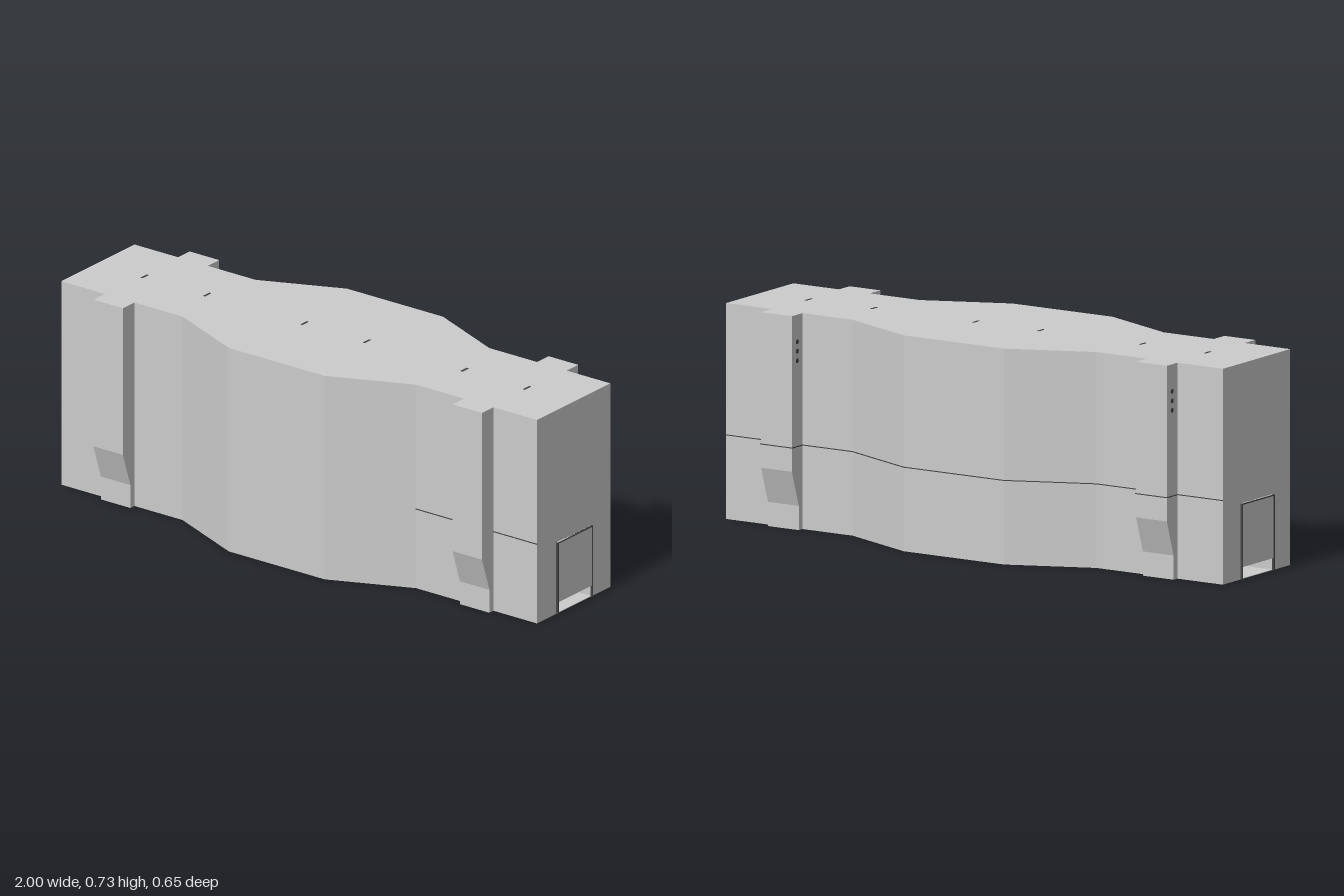
import * as THREE from 'three';

const H = 0.73, END = 0.992, DOOR = 0.094, SILL = 0.042;
const PIL = [0.687, 0.81]; // pilaster x range

export function createModel() {
  const model = new THREE.Group();
  const mat = new THREE.MeshStandardMaterial({ color: 0xcccccc, flatShading: true, side: THREE.DoubleSide });
  const dark = new THREE.MeshStandardMaterial({ color: 0x444444, flatShading: true });

  const add = (name, geo, x = 0, y = 0, z = 0, m = mat) => {
    const mesh = new THREE.Mesh(geo, m);
    mesh.name = name;
    mesh.position.set(x, y, z);
    model.add(mesh);
    return mesh;
  };
  const box = (name, w, h, d, x, y, z, m) => add(name, new THREE.BoxGeometry(w, h, d), x, y, z, m);

  // Plan outline given as [x, z] points, raised from y0 to y1
  const slab = (name, pts, y0, y1, m) => {
    const shape = new THREE.Shape(pts.map(([x, z]) => new THREE.Vector2(x, -z)));
    const geo = new THREE.ExtrudeGeometry(shape, { depth: y1 - y0, bevelEnabled: false });
    geo.rotateX(-Math.PI / 2);
    return add(name, geo, 0, y0, 0, m);
  };

  // Bulging body: one long side from left to right, mirrored for the other
  const side = s => [[-END, 0.2 * s], [-0.487, 0.2 * s], [-0.2, 0.323 * s],
    [0.2, 0.323 * s], [0.487, 0.2 * s], [END, 0.2 * s]];
  slab('body', [...side(1), ...side(-1).reverse()], SILL, H);

  // Lower body, split by the low gap that runs between the end doors
  for (const s of [1, -1]) slab('lowerBody', [...side(s), [END, DOOR * s], [-END, DOOR * s]], 0, SILL);
  box('floor', 2 * END, 0.002, 2 * DOOR, 0, 0.001, 0);

  // Pilasters that taper in near the foot
  const profile = new THREE.Shape([[0.19, 0], [0.222, 0], [0.222, 0.082], [0.263, 0.204], [0.263, H], [0.19, H]]
    .map(p => new THREE.Vector2(...p)));
  const pilaster = new THREE.ExtrudeGeometry(profile, { depth: PIL[1] - PIL[0], bevelEnabled: false });
  pilaster.rotateY(-Math.PI / 2); // profile now faces +z, length runs along -x
  for (const x of [PIL[1], -PIL[0]]) {
    add('frontPilaster', pilaster, x);
    add('backPilaster', pilaster, x - PIL[0] - (PIL[1] - PIL[0]) + PIL[0]).rotation.y = Math.PI;
  }

  // Raised door and slim jambs at each end
  for (const s of [1, -1]) {
    box('door', 0.006, 0.257 - SILL, 2 * DOOR, s * 0.995, (0.257 + SILL) / 2, 0);
    box('doorHead', 0.008, 0.004, 2 * DOOR, s * 0.996, 0.255, 0, dark);
    for (const z of [DOOR, -DOOR]) box('doorJamb', 0.008, 0.257, 0.004, s * 0.996, 0.1285, z, dark);
  }

  // Thin seam around the back and along part of the front
  const e = 0.002, back = [[-END, -0.2 - e]];
  for (const [a, b] of [[-PIL[1], -PIL[0]], [PIL[0], PIL[1]]]) {
    if (a > 0) back.push([-0.487, -0.2 - e], [-0.2, -0.323 - e], [0.2, -0.323 - e], [0.487, -0.2 - e]);
    back.push([a - e, -0.2 - e], [a - e, -0.263 - e], [b + e, -0.263 - e], [b + e, -0.2 - e]);
  }
  back.push([END, -0.2 - e], [END, -0.19], [-END, -0.19]);
  slab('backSeam', back, 0.283, 0.286, dark);
  for (const [a, b] of [[0.487, PIL[0]], [PIL[1], END]])
    box('frontSeam', b - a, 0.003, 0.004, (a + b) / 2, 0.2845, 0.2, dark);

  // Small slots along the top
  for (const x of [0.13, 0.537, 0.797])
    for (const s of [1, -1]) box('topSlot', 0.008, 0.002, 0.034, s * x, H, 0, dark);

  // Three small round vents on one flank of each back pilaster
  const vent = new THREE.CylinderGeometry(0.008, 0.008, 0.003, 12).rotateZ(Math.PI / 2);
  for (const x of [-PIL[1], PIL[0]])
    for (const y of [0.575, 0.607, 0.639]) add('vent', vent, x, y, -0.232, dark);

  return model;
}
